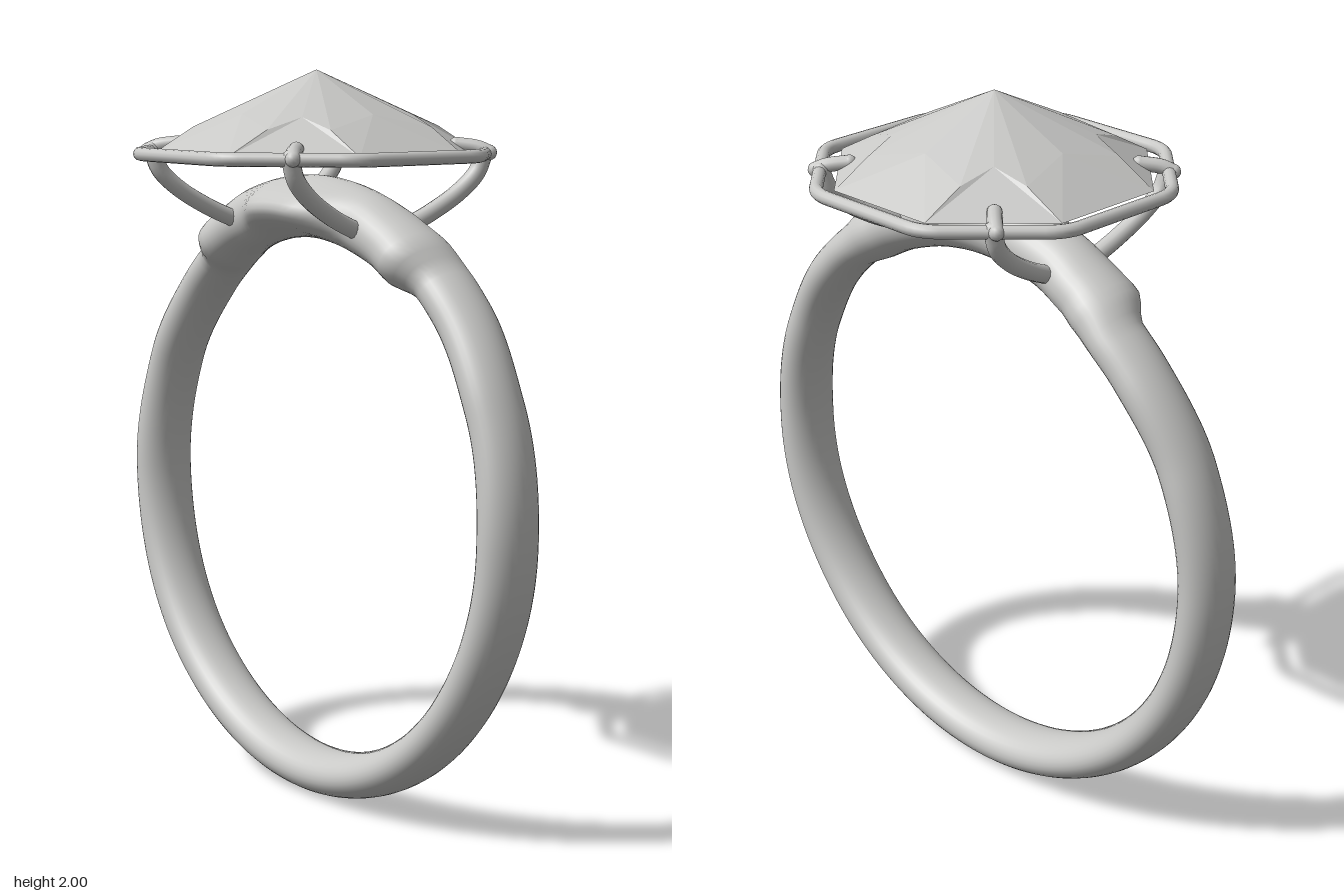
import * as THREE from 'three';

const CENTRE_Y = 0.845;

// Band stations by angle from the top: [angle, z centre, z half width, inner radius, outer radius]
const STATIONS = [
  [0.00, 0, 0.092, 0.705, 0.875],
  [0.30, 0, 0.096, 0.705, 0.873],
  [0.46, -0.008, 0.103, 0.708, 0.867],
  [0.55, -0.012, 0.112, 0.708, 0.866],
  [0.67, -0.042, 0.088, 0.720, 0.845],
  [0.80, -0.040, 0.087, 0.720, 0.845],
  [1.15, -0.022, 0.085, 0.720, 0.845],
  [1.60, -0.010, 0.088, 0.720, 0.845],
  [2.30, 0, 0.088, 0.720, 0.845],
  [Math.PI, 0, 0.088, 0.720, 0.845],
];

function station(angle) {
  let i = 0;
  while (i < STATIONS.length - 2 && angle > STATIONS[i + 1][0]) i++;
  const a = STATIONS[i], b = STATIONS[i + 1];
  const k = THREE.MathUtils.smoothstep(angle, a[0], b[0]);
  return a.map((v, j) => THREE.MathUtils.lerp(v, b[j], k));
}

// Closed sweep of an oval section, swelling forward under the stone
function bandGeometry(segments = 200, sides = 32) {
  const positions = [], indices = [];
  for (let i = 0; i < segments; i++) {
    const t = (i / segments) * Math.PI * 2;
    const angle = Math.min(t, Math.PI * 2 - t);
    const [, zc, rz, rin, rout] = station(angle);
    const swell = 0.07 * (1 - THREE.MathUtils.smoothstep(angle, 0.08, 0.32));
    for (let j = 0; j < sides; j++) {
      const p = (j / sides) * Math.PI * 2;
      const r = (rin + rout) / 2 + ((rout - rin) / 2) * Math.cos(p);
      const s = Math.sin(p);
      const z = zc + rz * s + swell * Math.pow(Math.max(0, s), 3);
      positions.push(r * Math.sin(t), CENTRE_Y + r * Math.cos(t), z);
      const i2 = (i + 1) % segments, j2 = (j + 1) % sides;
      const a = i * sides + j, b = i * sides + j2;
      const c = i2 * sides + j, d = i2 * sides + j2;
      indices.push(a, b, c, b, d, c);
    }
  }
  const g = new THREE.BufferGeometry();
  g.setAttribute('position', new THREE.Float32BufferAttribute(positions, 3));
  g.setIndex(indices);
  g.computeVertexNormals();
  return g;
}

// Faceted crown: octagonal girdle, zigzag middle ring, apex and flat base
function stoneGeometry() {
  const base = 1.785, midY = 1.886, cornerY = 1.85;
  const apex = [0, 2, 0], floor = [0, base, 0];
  const outer = [], corner = [], mid = [];
  for (let q = 0; q < 4; q++) {
    const c = Math.round(Math.cos(q * Math.PI / 2)), s = Math.round(Math.sin(q * Math.PI / 2));
    const turn = (x, y, z) => [x * c - z * s, y, x * s + z * c];
    outer.push(turn(0.407, base, -0.168), turn(0.407, base, 0.168));
    corner.push(turn(0.285, cornerY, -0.168), turn(0.285, cornerY, 0.168));
    mid.push(turn(0.245, midY, 0), turn(0.185, midY - 0.005, 0.185));
  }
  const v = [];
  const tri = (a, b, c) => v.push(...a, ...b, ...c);
  for (let i = 0; i < 8; i++) {
    const n = (i + 1) % 8;
    tri(apex, mid[i], corner[i]);
    tri(apex, corner[n], mid[i]);
    tri(corner[i], mid[i], outer[i]);
    tri(mid[i], outer[n], outer[i]);
    tri(mid[i], corner[n], outer[n]);
    tri(floor, outer[i], outer[n]);
  }
  const g = new THREE.BufferGeometry();
  g.setAttribute('position', new THREE.Float32BufferAttribute(v, 3));
  g.computeVertexNormals();
  return g;
}

// Octagonal wire with rounded corners
function galleryGeometry() {
  const h = 0.448, f = 0.195, y = 1.78;
  const pts = [[h, -f], [h, f], [f, h], [-f, h], [-h, f], [-h, -f], [-f, -h], [f, -h]]
    .map(([x, z]) => new THREE.Vector3(x, y, z));
  const path = new THREE.CurvePath();
  const round = 0.05;
  pts.forEach((p, i) => {
    const next = pts[(i + 1) % 8], after = pts[(i + 2) % 8];
    const dir = next.clone().sub(p).normalize();
    const dir2 = after.clone().sub(next).normalize();
    const start = p.clone().addScaledVector(dir, round);
    const end = next.clone().addScaledVector(dir, -round);
    path.add(new THREE.LineCurve3(start, end));
    path.add(new THREE.QuadraticBezierCurve3(end, next, next.clone().addScaledVector(dir2, round)));
  });
  return new THREE.TubeGeometry(path, 160, 0.018, 12, true);
}

export function createModel() {
  const group = new THREE.Group();
  const grey = new THREE.MeshStandardMaterial({ color: 0xc8c8c6 });
  grey.name = 'pale grey';

  const add = (name, geometry, parent = group) => {
    const mesh = new THREE.Mesh(geometry, grey);
    mesh.name = name;
    parent.add(mesh);
    return mesh;
  };

  add('band', bandGeometry());
  add('stone', stoneGeometry());
  add('galleryWire', galleryGeometry());

  // Four curved prongs hooking over the stone's cut corners
  for (const sx of [-1, 1]) for (const sz of [-1, 1]) {
    const prong = new THREE.Group();
    prong.name = (sz > 0 ? 'front' : 'back') + (sx > 0 ? 'Left' : 'Right') + 'Prong';
    const at = (x, y, z) => new THREE.Vector3(sx * x, y, sz * z);
    const stem = new THREE.CatmullRomCurve3([
      at(0.275, 1.585, 0.07), at(0.285, 1.625, 0.16), at(0.3, 1.68, 0.25),
      at(0.312, 1.73, 0.30), at(0.318, 1.782, 0.32),
    ]);
    add('prongStem', new THREE.TubeGeometry(stem, 24, 0.024, 12), prong);
    const claw = new THREE.CatmullRomCurve3([
      at(0.335, 1.782, 0.325), at(0.31, 1.795, 0.305), at(0.268, 1.803, 0.265),
    ]);
    add('prongClaw', new THREE.TubeGeometry(claw, 10, 0.02, 12), prong);
    // Rounded ends
    for (const [p, r] of [[at(0.275, 1.585, 0.07), 0.024], [at(0.335, 1.782, 0.325), 0.02],
      [at(0.268, 1.803, 0.265), 0.02], [at(0.318, 1.782, 0.32), 0.024]]) {
      add('prongEnd', new THREE.SphereGeometry(r, 12, 8), prong).position.copy(p);
    }
    group.add(prong);
  }
  return group;
}
